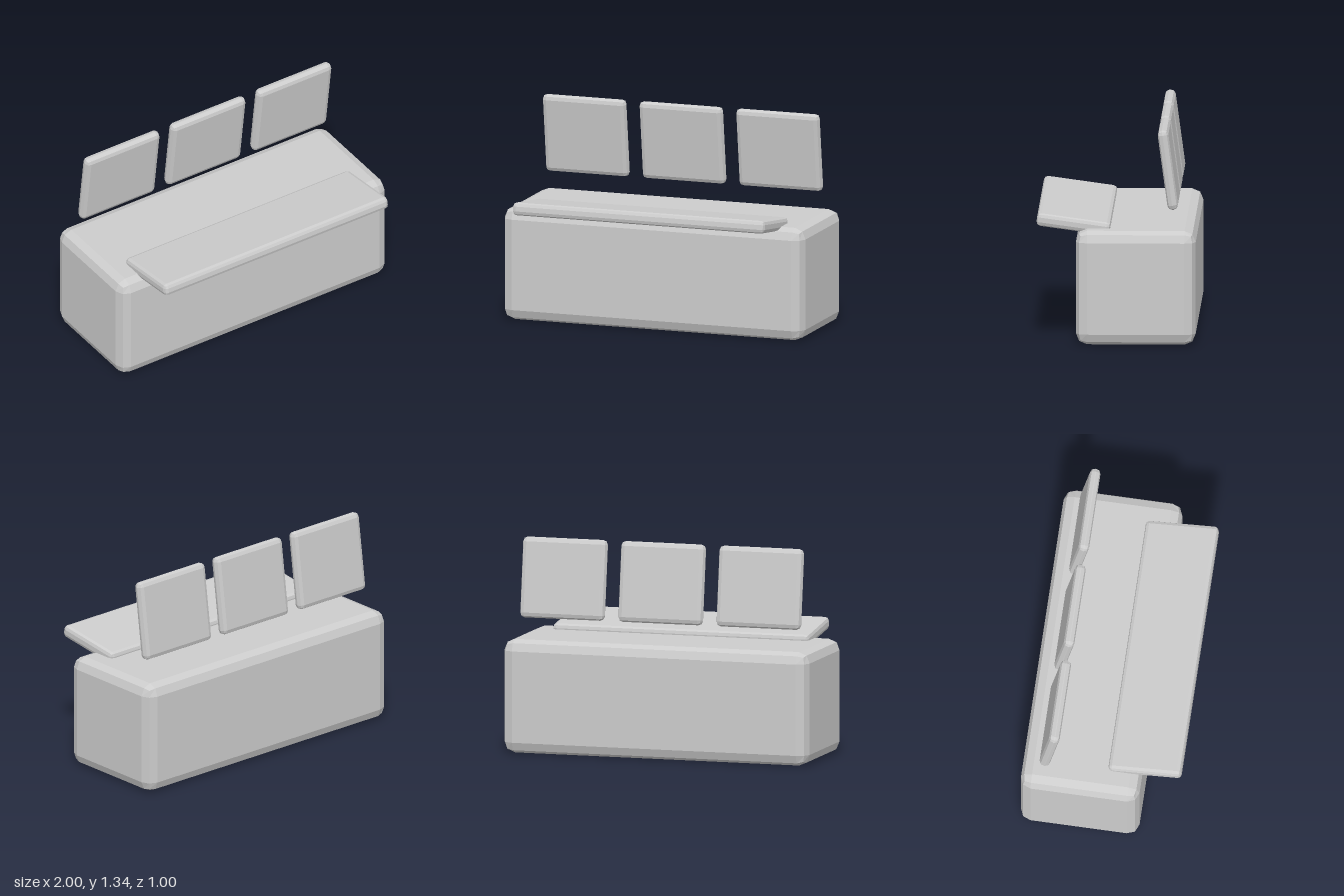
import * as THREE from 'three';
import { RoundedBoxGeometry } from 'three/addons/geometries/RoundedBoxGeometry.js';

const grey = new THREE.MeshStandardMaterial({ color: 0xcccccc });
grey.name = 'light grey';

// Box with two-facet bevelled edges and flat normals
function bevelBox(name, [w, h, d], radius, [x, y, z], tilt = 0) {
  const geometry = new RoundedBoxGeometry(w, h, d, 1, radius);
  geometry.computeVertexNormals();
  const mesh = new THREE.Mesh(geometry, grey);
  mesh.name = name;
  mesh.position.set(x, y, z);
  mesh.rotation.x = tilt;
  return mesh;
}

export function createModel() {
  const group = new THREE.Group();
  group.name = 'bench';

  // Solid base block
  group.add(bevelBox('base', [2, 0.716, 0.748], 0.07, [0, 0.358, -0.124]));

  // Overhanging slab, raised at the front
  group.add(bevelBox('seatSlab', [1.675, 0.08, 0.462], 0.025, [0, 0.74, 0.268], -0.137));

  // Three floating back panels, tipped forward
  ['rightPanel', 'middlePanel', 'leftPanel'].forEach((name, i) => {
    group.add(bevelBox(name, [0.553, 0.505, 0.067], 0.03, [(i - 1) * 0.643, 1.094, -0.323], 0.135));
  });

  return group;
}
